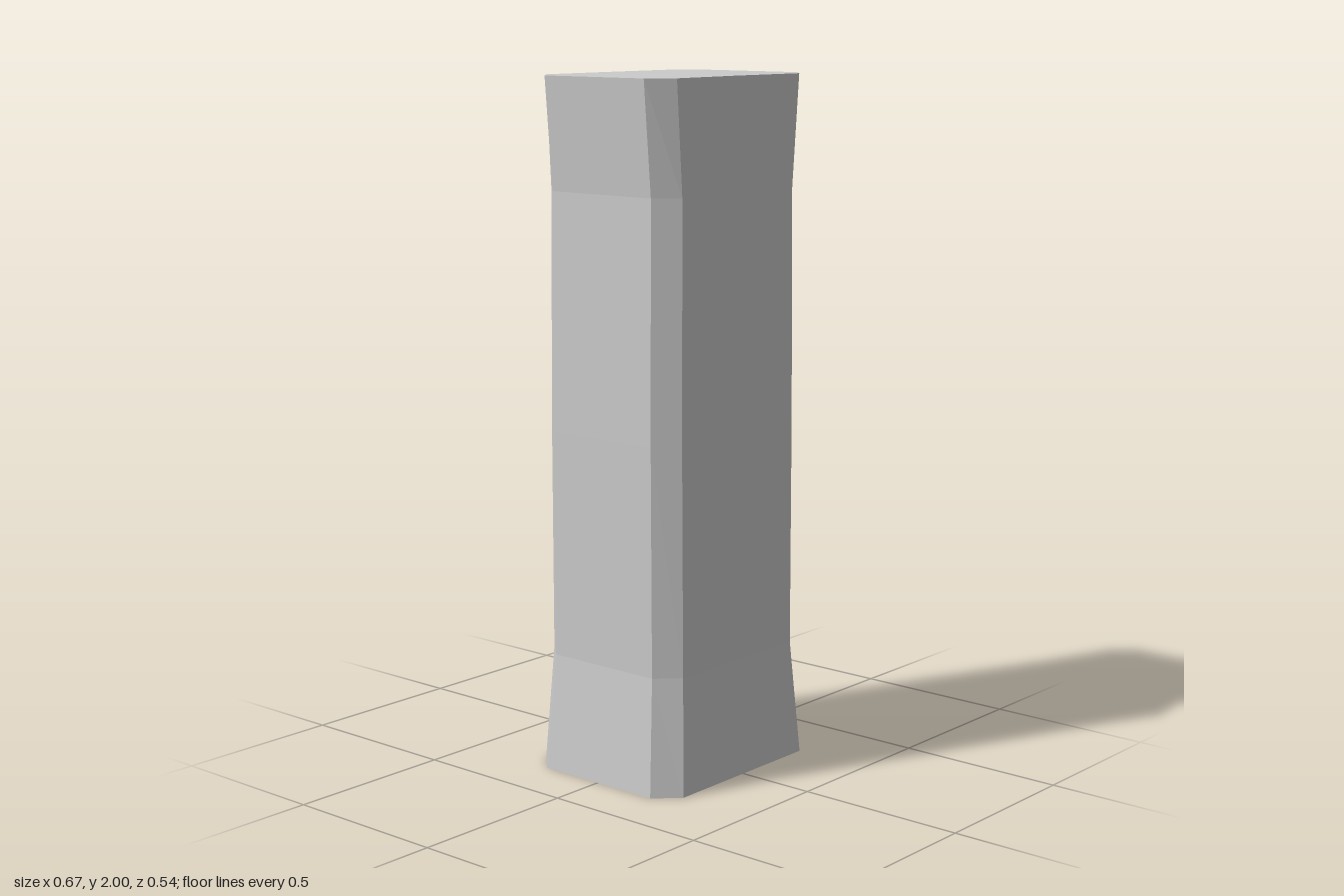
import * as THREE from 'three';

// Cross-sections: height, outer half width, half width of flat front, outer half depth, half depth of flat side, centre x, front middle z
const SECTIONS = [
  [0, 0.333, 0.267, 0.267, 0.2, 0, 0.267],
  [0.34, 0.302, 0.243, 0.248, 0.184, -0.004, 0.246],
  [1.0, 0.305, 0.245, 0.246, 0.184, -0.005, 0.243],
  [1.68, 0.3, 0.241, 0.243, 0.182, -0.005, 0.237],
  [2, 0.333, 0.266, 0.241, 0.182, 0, 0.23],
];

// Chamfered rectangle, counter-clockwise seen from below
function ring([y, w, fw, d, sd, cx, mid]) {
  return [
    [w, -sd], [w, sd], [fw, d], [0, mid], [-fw, d],
    [-w, sd], [-w, -sd], [-fw, -d], [0, -d - 0.003], [fw, -d],
  ].map(([x, z]) => new THREE.Vector3(x + cx, y, z));
}

function facets(triangles) {
  const geometry = new THREE.BufferGeometry().setFromPoints(triangles);
  geometry.computeVertexNormals();
  return geometry;
}

export function createModel() {
  const group = new THREE.Group();
  group.name = 'pillar';
  const material = new THREE.MeshStandardMaterial({
    color: 0xcccccc, flatShading: true, side: THREE.DoubleSide,
  });
  const rings = SECTIONS.map(ring);
  const count = rings[0].length;

  // Flared shaft, open at the bottom
  const walls = [];
  for (let r = 0; r < rings.length - 1; r++) {
    for (let i = 0; i < count; i++) {
      const j = (i + 1) % count;
      const a = rings[r][i], b = rings[r][j];
      const c = rings[r + 1][j], d = rings[r + 1][i];
      walls.push(a, c, b, a, d, c);
    }
  }
  const shaft = new THREE.Mesh(facets(walls), material);
  shaft.name = 'shaft';

  // Flat top
  const rim = rings[rings.length - 1];
  const centre = new THREE.Vector3(0, 2, 0);
  const cap = [];
  rim.forEach((p, i) => cap.push(centre, rim[(i + 1) % count], p));
  const top = new THREE.Mesh(facets(cap), material);
  top.name = 'topCap';

  // Keep every facet facing outward
  for (const mesh of [shaft, top]) {
    const pos = mesh.geometry.attributes.position;
    const [a, b, c] = [0, 1, 2].map((i) => new THREE.Vector3().fromBufferAttribute(pos, i));
    const normal = b.clone().sub(a).cross(c.clone().sub(a));
    const outward = a.clone().add(b).add(c).divideScalar(3).sub(new THREE.Vector3(0, 1, 0));
    if (normal.dot(outward) < 0) {
      for (let i = 0; i < pos.count; i += 3) {
        const p = new THREE.Vector3().fromBufferAttribute(pos, i + 1);
        const q = new THREE.Vector3().fromBufferAttribute(pos, i + 2);
        pos.setXYZ(i + 1, q.x, q.y, q.z);
        pos.setXYZ(i + 2, p.x, p.y, p.z);
      }
      mesh.geometry.computeVertexNormals();
    }
    group.add(mesh);
  }
  return group;
}
